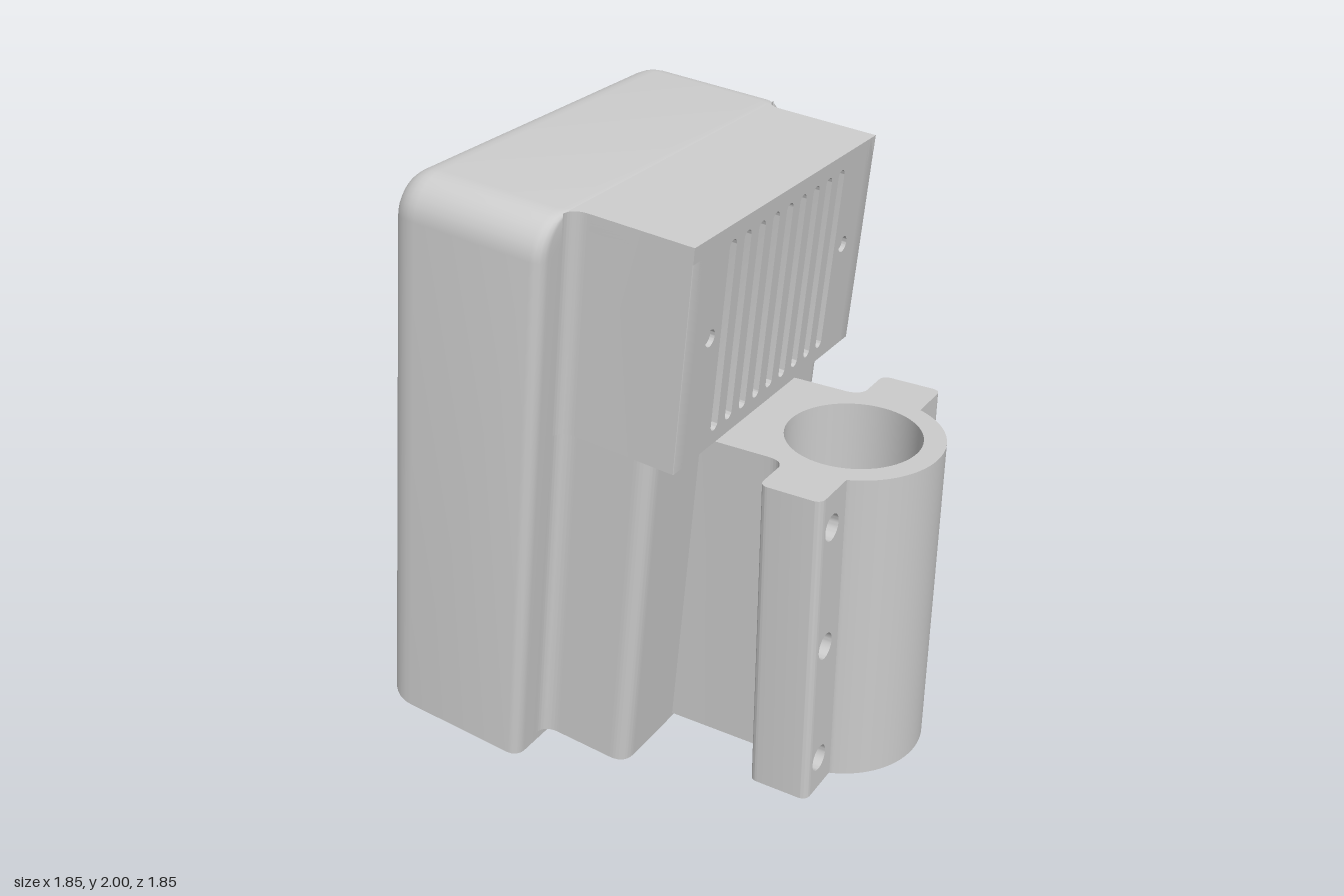
import * as THREE from 'three';
import { toCreasedNormals } from 'three/addons/utils/BufferGeometryUtils.js';

const material = new THREE.MeshStandardMaterial({ color: 0xcccccc, side: THREE.DoubleSide });

function add(parent, name, geometry) {
  const mesh = new THREE.Mesh(toCreasedNormals(geometry, 0.6), material);
  mesh.name = name;
  parent.add(mesh);
}

// Box from its min and max corners
function box(x0, x1, y0, y1, z0, z1) {
  return new THREE.BoxGeometry(x1 - x0, y1 - y0, z1 - z0)
    .translate((x0 + x1) / 2, (y0 + y1) / 2, (z0 + z1) / 2);
}

// Upright plate in x/y, running from z0 to z1
function plate(shape, z0, z1) {
  return new THREE.ExtrudeGeometry(shape, { depth: z1 - z0, bevelEnabled: false, curveSegments: 20 })
    .translate(0, 0, z0);
}

// Plan shape (drawn with y = -z), running from y0 to y1
function column(shape, y0, y1) {
  return new THREE.ExtrudeGeometry(shape, { depth: y1 - y0, bevelEnabled: false, curveSegments: 32 })
    .rotateX(-Math.PI / 2).translate(0, y0, 0);
}

const polygon = points => new THREE.Shape(points.map(p => new THREE.Vector2(...p)));
const rect = (x0, x1, y0, y1) => polygon([[x0, y0], [x1, y0], [x1, y1], [x0, y1]]);
const circle = (x, y, r) => new THREE.Path().absarc(x, y, r, 0, Math.PI * 2, true);

// Slot with round ends, long in y
function slot(x, y0, y1, r) {
  const p = new THREE.Path();
  p.absarc(x, y1 - r, r, 0, Math.PI, false);
  p.absarc(x, y0 + r, r, Math.PI, Math.PI * 2, false);
  p.closePath();
  return p;
}

// Arch-shaped cross-section: rounded upper corners, foot with an optional notch
const FOOT = 5;
function arch(hw, y0, y1, r, z, notch = 0) {
  const pts = [[-hw, y0, z]], f = hw * 0.83;
  for (const s of [-1, 1]) {
    for (let i = 0; i <= 8; i++) {
      const a = (s < 0 ? Math.PI : Math.PI / 2) - (i / 8) * Math.PI / 2;
      pts.push([s * (hw - r) + r * Math.cos(a), y1 - r + r * Math.sin(a), z]);
    }
  }
  pts.push([hw, y0, z], [f, y0, z], [f, y0 + notch, z], [-f, y0 + notch, z], [-f, y0, z]);
  return pts;
}

// Skin over the cross-sections; the foot is closed only near the back
function loft(loops) {
  const n = loops[0].length, index = [];
  for (let i = 0; i < loops.length - 1; i++) {
    const closed = loops[i][0][2] <= -0.49 && loops[i + 1][0][2] <= -0.49;
    for (let j = 0; j < (closed ? n : n - FOOT); j++) {
      const k = (j + 1) % n, a = i * n + j, b = i * n + k;
      index.push(a, b, a + n, b, b + n, a + n);
    }
  }
  const g = new THREE.BufferGeometry();
  g.setAttribute('position', new THREE.Float32BufferAttribute(loops.flat(2), 3));
  g.setIndex(index);
  return g;
}

// Side wall in plan with a flared root, turning the front corner with radius r
function sideWall(s, hw, front, r, inner, lap, back) {
  const p = new THREE.Shape();
  p.moveTo(s * inner, 0.06);
  p.lineTo(s * (hw + 0.05), 0.06);
  p.quadraticCurveTo(s * hw, 0.06, s * hw, 0);
  p.lineTo(s * hw, -(front - r));
  p.quadraticCurveTo(s * hw, -front, s * (hw - r), -front);
  p.lineTo(s * lap, -front);
  p.lineTo(s * lap, -back);
  p.lineTo(s * inner, -back);
  return p;
}

function buildHousing() {
  const housing = new THREE.Group();
  housing.name = 'housing';

  // Rear shell with rounded edges and a rectangular window
  const loops = [arch(0.55, 0, 1.91, 0.02, -0.1), arch(0.55, 0, 1.91, 0.02, -0.06)];
  for (let i = 0; i <= 4; i++) {
    const a = i / 4 * Math.PI / 2;
    loops.push(arch(0.7 + 0.04 * Math.sin(a), 0, 1.963, 0.13, -0.1 + 0.04 * Math.cos(a)));
  }
  for (let i = 0; i <= 8; i++) {
    const a = i / 8 * Math.PI / 2, d = 0.125 * (1 - Math.cos(a));
    loops.push(arch(0.74 - d, 0.3 * d, 1.963 - d, 0.13 - 0.6 * d, -0.52 - 0.125 * Math.sin(a), 0.05));
  }
  loops.push(
    arch(0.6, 0.05, 1.828, 0.045, -0.645, 0.04),
    arch(0.5, 0.22, 1.815, 0.02, -0.645), arch(0.475, 0.25, 1.8, 0.02, -0.62),
    arch(0.475, 0.25, 1.8, 0.02, -0.58), arch(0.69, 0, 1.91, 0.09, -0.56, 0.05),
    arch(0.69, 0, 1.91, 0.09, -0.1), arch(0.55, 0, 1.91, 0.02, -0.1));
  add(housing, 'rearShell', loft(loops));

  // Side walls of the lower body and the hood
  for (const s of [-1, 1]) {
    add(housing, 'lowerSide', column(sideWall(s, 0.58, 0.267, 0.06, 0.535, 0.45, 0.13), 0.03, 1.215));
    add(housing, 'hoodSide', column(sideWall(s, 0.587, 0.352, 0.002, 0.545, 0.53, 0.306), 1.215, 1.963));
  }

  // Inner panel with the cable opening and a small hole
  const panel = rect(-0.45, 0.45, 0.03, 1.36);
  panel.holes.push(circle(0, 0.71, 0.115), circle(0, 0.41, 0.025));
  add(housing, 'lowerPanel', plate(panel, 0.13, 0.267));
  for (const s of [-1, 1]) {
    const x = [s * 0.45, s * 0.545].sort((a, b) => a - b);
    add(housing, 'panelShoulder', box(...x, 1.215, 1.36, 0.13, 0.267));
  }

  // Hood top, lip and slotted front grille
  add(housing, 'hoodTop', box(-0.587, 0.587, 1.91, 1.963, -0.06, 0.352));
  add(housing, 'hoodLip', box(-0.545, 0.545, 1.215, 1.235, 0.24, 0.352));
  const grille = rect(-0.55, 0.55, 1.215, 1.963);
  for (let i = -4; i <= 4; i++) grille.holes.push(slot(i * 0.0885, 1.265, 1.91, 0.021));
  for (const s of [-1, 1]) grille.holes.push(circle(s * 0.44, 1.62, 0.028));
  add(housing, 'hoodGrille', plate(grille, 0.306, 0.352));
  for (const s of [-1, 1]) {
    const screw = new THREE.CylinderGeometry(0.028, 0.028, 0.03, 20).rotateX(Math.PI / 2);
    add(housing, 'grilleScrew', screw.translate(s * 0.44, 1.62, 0.321));
  }

  // Vented floor with a corner opening
  const floor = polygon([[-0.69, 0.57], [-0.69, 0.08], [-0.54, 0.08], [-0.54, -0.15],
    [0.54, -0.15], [0.54, 0.08], [0.69, 0.08], [0.69, 0.57]]);
  for (let i = -5; i <= 5; i++) floor.holes.push(slot(i * 0.08, -0.1, 0.42, 0.02));
  floor.holes.push(rect(-0.62, -0.46, 0.36, 0.54));
  add(housing, 'ventedFloor', column(floor, 0.055, 0.09));

  housing.rotation.x = THREE.MathUtils.degToRad(5);
  return housing;
}

function buildClamp() {
  const clamp = new THREE.Group();
  clamp.name = 'poleClamp';
  const y0 = 0.02, y1 = 1.14, cz = 0.773;

  // Mounting block and ring
  const body = new THREE.Shape();
  body.moveTo(0.27, -0.27);
  body.lineTo(-0.27, -0.27);
  body.lineTo(-0.27, -0.61);
  body.quadraticCurveTo(-0.27, -0.672, -0.33, -0.672);
  body.lineTo(-0.33, -0.7);
  body.lineTo(-0.27, -0.7);
  body.lineTo(-0.27, -0.882);
  const a = Math.atan2(0.109, 0.27);
  body.absarc(0, -cz, 0.294, Math.PI + a, Math.PI * 2 - a, false);
  body.lineTo(0.27, -0.7);
  body.lineTo(0.33, -0.7);
  body.lineTo(0.33, -0.672);
  body.quadraticCurveTo(0.27, -0.672, 0.27, -0.61);
  body.holes.push(circle(0, -cz, 0.222));
  add(clamp, 'ringAndBlock', column(body, y0, y1));

  // Ears with counterbored bolt holes and rounded ends
  for (const s of [-1, 1]) {
    const x = [s * 0.265, s * 0.408].sort((p, q) => p - q);
    for (const [r, z0, z1] of [[0.045, 0.82, 0.882], [0.024, 0.67, 0.82]]) {
      const ear = rect(...x, y0, y1);
      for (const y of [0.14, 0.58, 1.015]) ear.holes.push(circle(s * 0.358, y, r));
      add(clamp, 'ear', plate(ear, z0, z1));
    }
    const end = new THREE.Shape();
    end.moveTo(s * 0.408, -0.67);
    end.quadraticCurveTo(s * 0.44, -0.67, s * 0.44, -0.702);
    end.lineTo(s * 0.44, -0.85);
    end.quadraticCurveTo(s * 0.44, -0.882, s * 0.408, -0.882);
    add(clamp, 'earEnd', column(end, y0, y1));
  }
  return clamp;
}

export function createModel() {
  const model = new THREE.Group();
  model.name = 'poleMountedEnclosure';
  model.add(buildHousing(), buildClamp());
  model.rotation.y = Math.PI / 4;
  const root = new THREE.Group();
  root.add(model);
  return root;
}
